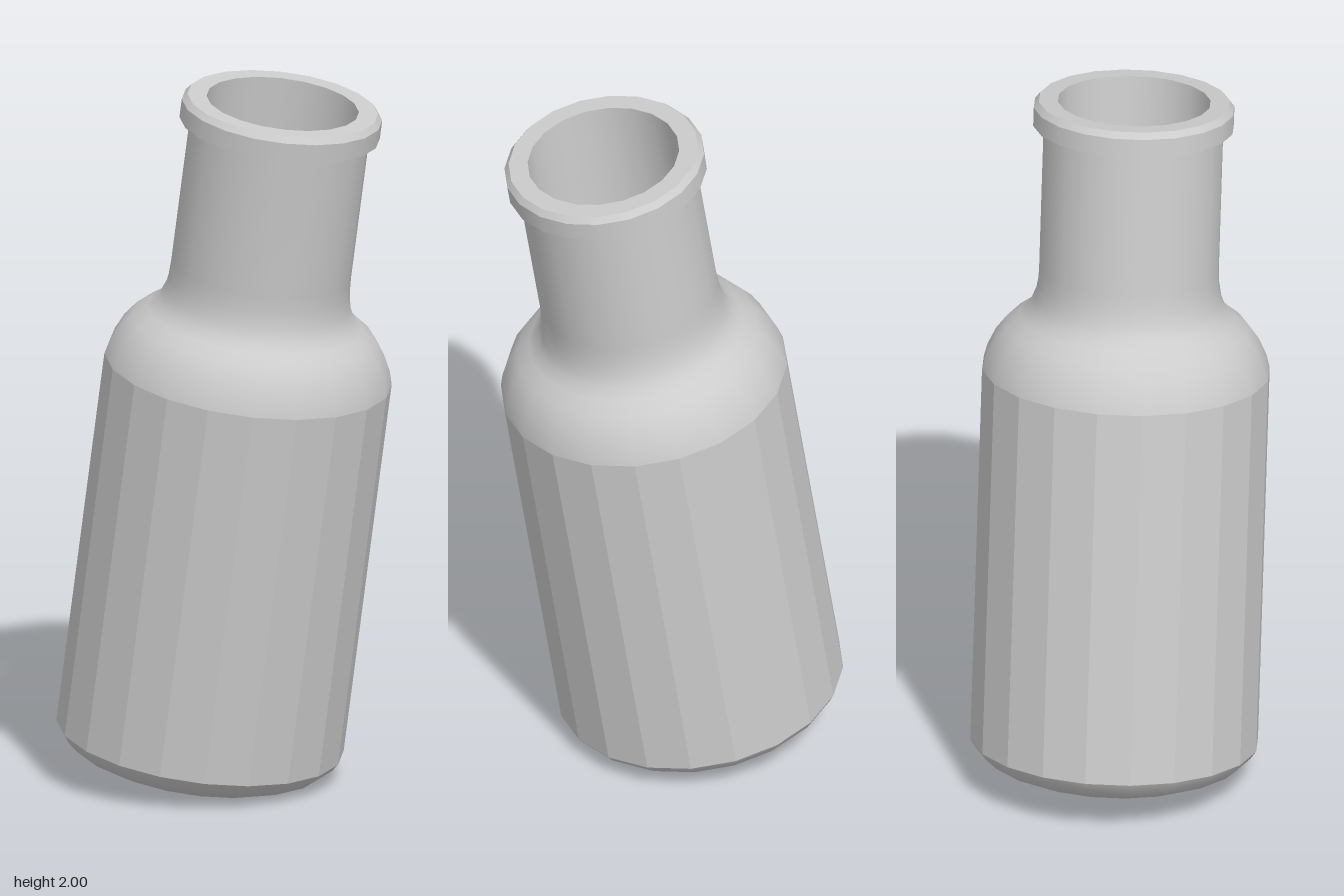
import * as THREE from 'three';

const SIDES = 20;

export function createModel() {
  const model = new THREE.Group();
  const bottle = new THREE.Group();
  bottle.name = 'bottle';
  model.add(bottle);

  const smooth = new THREE.MeshStandardMaterial({ color: 0xcccccc });
  const faceted = new THREE.MeshStandardMaterial({ color: 0xcccccc, flatShading: true });

  // Turned section from [radius, height] pairs, outer surfaces running upwards
  const turn = (name, profile, material = smooth) => {
    const points = profile.map(([r, y]) => new THREE.Vector2(r, y));
    const mesh = new THREE.Mesh(new THREE.LatheGeometry(points, SIDES), material);
    mesh.name = name;
    bottle.add(mesh);
  };

  // Base and its rounded edge
  turn('base', [[0, 0], [0.3, 0]]);
  turn('baseEdge', [[0.3, 0], [0.355, 0.023], [0.385, 0.05], [0.4, 0.072]]);

  // Faceted body below the smooth shoulder and neck
  turn('body', [[0.4, 0.072], [0.4, 1.153]], faceted);
  turn('shoulderAndNeck', [
    [0.4, 1.153], [0.39, 1.19], [0.368, 1.237], [0.338, 1.277], [0.3, 1.306],
    [0.274, 1.33], [0.259, 1.365], [0.252, 1.405], [0.25, 1.45], [0.25, 1.865],
  ]);

  // Lip ring
  turn('lipUnderside', [[0.25, 1.865], [0.279, 1.865]]);
  turn('lipSide', [[0.279, 1.865], [0.279, 1.918]]);
  turn('lipBevel', [[0.279, 1.918], [0.265, 1.935]]);
  turn('lipTop', [[0.265, 1.935], [0.212, 1.935]]);

  // Hollow of the neck, closed by a flat floor
  turn('neckInside', [[0.212, 1.935], [0.212, 1.46]]);
  turn('neckFloor', [[0.212, 1.46], [0, 1.46]]);

  // The whole bottle leans to its left
  bottle.rotation.z = -THREE.MathUtils.degToRad(8.5);
  bottle.position.set(-0.09, 0.046, 0);
  return model;
}
